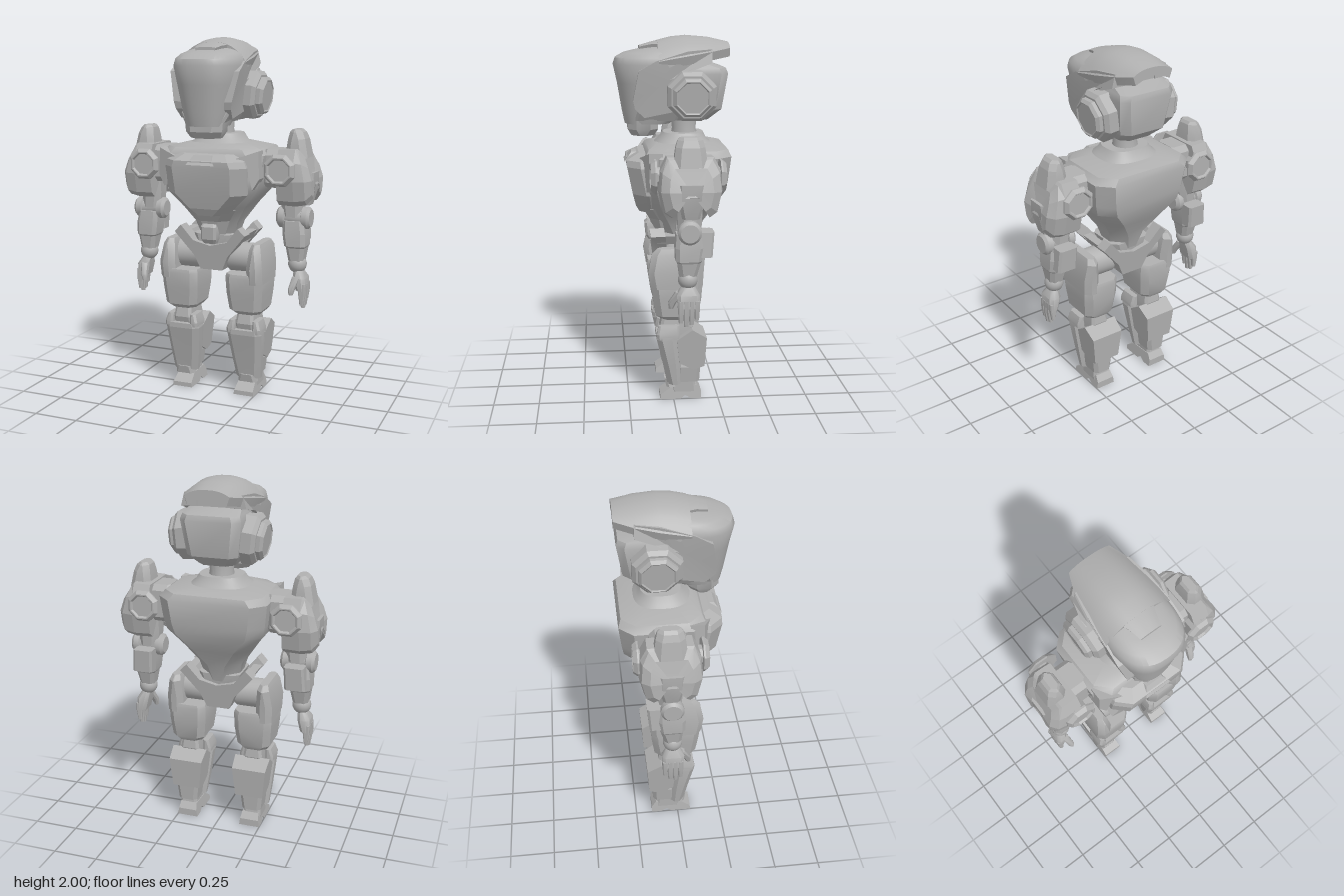
import * as THREE from 'three';
import { toCreasedNormals } from 'three/addons/utils/BufferGeometryUtils.js';

const shell = new THREE.MeshStandardMaterial({ color: 0xb0b0b0 });
shell.name = 'grey shell';

// Skin closed rings of [x, y, z] points, with fan caps; winding is made outward
function skin(rings, crease = 0.5) {
  const tris = [], n = rings[0].length;
  const tri = (a, b, c) => tris.push(a, b, c);
  for (let i = 0; i < rings.length - 1; i++)
    for (let j = 0; j < n; j++) {
      const k = (j + 1) % n, [p, q] = [rings[i], rings[i + 1]];
      tri(p[j], p[k], q[k]);
      tri(p[j], q[k], q[j]);
    }
  const mid = r => [0, 1, 2].map(a => r.reduce((s, p) => s + p[a], 0) / n);
  const first = rings[0], last = rings[rings.length - 1], m0 = mid(first), m1 = mid(last);
  for (let j = 0; j < n; j++) {
    const k = (j + 1) % n;
    tri(m0, first[k], first[j]);
    tri(m1, last[j], last[k]);
  }
  let volume = 0;
  for (let i = 0; i < tris.length; i += 3) {
    const [a, b, c] = [0, 1, 2].map(k => new THREE.Vector3(...tris[i + k]));
    volume += a.dot(b.cross(c));
  }
  if (volume < 0) tris.reverse();
  const g = new THREE.BufferGeometry();
  g.setAttribute('position', new THREE.Float32BufferAttribute(tris.flat(), 3));
  return toCreasedNormals(g, crease);
}

// Chamfered blocks stacked upward; rows are [y, x0, x1, zFront, zBack], c is the chamfer
const block = (rows, c = 0.02, crease = 0.45) => skin(rows.map(([y, a, b, f, k]) => {
  const d = Math.min(c, (b - a) * 0.45, (f - k) * 0.45);
  return [[a + d, y, f], [b - d, y, f], [b, y, f - d], [b, y, k + d],
    [b - d, y, k], [a + d, y, k], [a, y, k + d], [a, y, f - d]];
}), crease);

// Rounded stack, symmetric in x; rows are [y, halfWidth, zFront, zBack]
const rounded = (rows, power = 3, crease = 0.7) => skin(rows.map(([y, w, f, k]) =>
  Array.from({ length: 40 }, (_, i) => {
    const t = i / 40 * Math.PI * 2, c = Math.cos(t), s = Math.sin(t);
    const e = v => Math.sign(v) * Math.abs(v) ** (2 / power);
    return [w * e(c), y, (f + k) / 2 + (f - k) / 2 * e(s)];
  })), crease);

// Outline swept between two planes: at(point, side) gives the 3D place
const slab = (pts, at) => skin([0, 1].map(s => pts.map(p => at(p, s))), 0.3);

// Turned part on the x or z axis; profile is [radius, offset]
function turned(profile, sides, axis, x, y, z) {
  const rings = profile.map(([r, o]) => Array.from({ length: sides }, (_, i) => {
    const t = (i + 0.5) / sides * Math.PI * 2, u = r * Math.cos(t), v = r * Math.sin(t);
    return axis === 'x' ? [x + o, y + u, z + v] : [x + u, y + v, z + o];
  }));
  return skin(rings, sides > 12 ? 0.6 : 0.2);
}

function mirrored(g) {
  const m = g.clone();
  for (const key of ['position', 'normal']) {
    const a = m.attributes[key];
    for (let i = 0; i < a.count; i += 3) {
      const v = [0, 1, 2].map(k => [-a.getX(i + k), a.getY(i + k), a.getZ(i + k)]);
      [v[0], v[2], v[1]].forEach((p, k) => a.setXYZ(i + k, ...p));
    }
  }
  return m;
}

export function createModel() {
  const model = new THREE.Group();
  model.name = 'robot';
  const add = (name, g) => {
    const m = new THREE.Mesh(g, shell);
    m.name = name;
    model.add(m);
  };
  const pair = (name, g) => {
    add(name + 'Left', g);
    add(name + 'Right', mirrored(g));
  };

  // Head: smooth visor, arched top shell, rear casing, chin
  add('visor', rounded([[1.53, 0.11, 0.25, 0], [1.6, 0.135, 0.265, -0.08], [1.75, 0.17, 0.29, -0.15],
    [1.85, 0.188, 0.312, -0.17], [1.885, 0.18, 0.3, -0.17], [1.91, 0.165, 0.255, -0.17],
    [1.93, 0.14, 0.17, -0.17], [1.95, 0.1, 0.05, -0.17], [1.96, 0.05, -0.03, -0.14]], 2.5));
  const arch = rows => skin(rows.map(([z, top, w, drop]) => {
    const line = Array.from({ length: 15 }, (_, i) => i / 7 - 1);
    const p = (u, d) => [u * (w - d / 3), top - d - drop * Math.abs(u) ** 2.6, z];
    return [...line.map(u => p(u, 0)), ...line.reverse().map(u => p(u, 0.045))];
  }), 0.6);
  add('topShell', arch([[-0.31, 1.965, 0.12, 0.03], [-0.2, 1.99, 0.165, 0.075], [-0.08, 2, 0.188, 0.105],
    [0, 1.992, 0.194, 0.11], [0.075, 1.973, 0.196, 0.105]]));
  add('topShellTongue', arch([[0.05, 1.978, 0.1, 0.02], [0.11, 1.964, 0.075, 0.01], [0.17, 1.946, 0.06, 0.005]]));
  pair('sideBand', slab([[0.2, 1.62], [0.21, 1.66], [0.18, 1.82], [0.09, 1.87], [-0.08, 1.92], [-0.21, 1.93],
    [-0.21, 1.86], [-0.12, 1.84], [-0.05, 1.8], [0.0, 1.6], [0.15, 1.57]],
  ([z, y], s) => [s ? (y > 1.84 ? 0.203 - (y - 1.84) * 0.25 : 0.203 - (1.84 - y) * 0.2) - Math.max(0, -z - 0.1) * 0.2 : 0.09, y, z]));
  add('rearCasing', block([[1.55, -0.1, 0.1, 0.1, -0.2], [1.61, -0.14, 0.14, 0.12, -0.27],
    [1.8, -0.165, 0.165, 0.1, -0.3], [1.83, -0.155, 0.155, 0.1, -0.29], [1.86, -0.14, 0.14, 0.05, -0.2],
    [1.94, -0.13, 0.13, 0.05, -0.2]], 0.04, 0.7));
  add('chin', block([[1.465, -0.085, 0.085, 0.215, 0.09], [1.5, -0.105, 0.105, 0.235, 0.07],
    [1.6, -0.115, 0.115, 0.235, 0.07]], 0.045));
  pair('jaw', block([[1.55, 0.08, 0.115, 0.2, -0.03], [1.62, 0.1, 0.155, 0.18, -0.05]], 0.015));
  pair('earPod', turned([[0.14, -0.03], [0.14, 0.03], [0.12, 0.05], [0.108, 0.05], [0.108, 0.07],
    [0.092, 0.085], [0.085, 0.08]], 8, 'x', 0, 0, 0).rotateZ(-0.1).translate(0.175, 1.69, -0.1));

  // Neck and collar
  add('neck', rounded([[1.4, 0.08, 0.01, -0.17], [1.5, 0.065, -0.01, -0.14], [1.58, 0.07, 0, -0.15]], 2));
  add('collar', rounded([[1.36, 0.24, 0.15, -0.28], [1.41, 0.2, 0.11, -0.25], [1.44, 0.145, 0.07, -0.2],
    [1.48, 0.12, 0.04, -0.18], [1.48, 0.1, 0.02, -0.16]], 2.6));

  // Torso
  add('torso', block([[0.88, -0.1, 0.1, 0.05, -0.15], [0.98, -0.125, 0.125, 0.09, -0.18],
    [1.08, -0.19, 0.19, 0.14, -0.235], [1.18, -0.27, 0.27, 0.165, -0.285], [1.24, -0.285, 0.285, 0.17, -0.295],
    [1.37, -0.3, 0.3, 0.15, -0.31], [1.405, -0.27, 0.27, 0.13, -0.295], [1.43, -0.17, 0.17, 0.08, -0.23]], 0.075, 0.6));
  add('chestPlate', block([[1.04, -0.1, 0.1, 0.175, 0.05], [1.08, -0.15, 0.15, 0.195, 0.05],
    [1.16, -0.23, 0.23, 0.215, 0.06], [1.31, -0.238, 0.238, 0.245, 0.06], [1.345, -0.225, 0.225, 0.245, 0.06],
    [1.38, -0.17, 0.17, 0.18, 0.06]], 0.07, 0.2));
  add('sternumPanel', slab([[-0.08, 1.325], [-0.05, 1.375], [0.05, 1.375], [0.08, 1.325]],
    ([x, y], s) => [x, y, s ? 0.256 - Math.max(0, y - 1.34) * 1.1 : 0.16]));
  pair('chestWing', slab([[0.12, 1.34], [0.29, 1.4], [0.295, 1.25], [0.26, 1.19], [0.235, 1.31]],
    ([x, y], s) => [x, y, s ? 0.25 - x * 0.4 : 0.06]));
  add('abdomen', block([[0.92, -0.07, 0.07, 0.095, 0], [1, -0.1, 0.1, 0.12, 0], [1.07, -0.15, 0.15, 0.16, 0]], 0.05, 0.2));

  // Pelvis: V shaped belts front and rear around a tapered core
  add('pelvisCore', block([[0.72, -0.065, 0.065, 0.05, -0.1], [0.8, -0.085, 0.085, 0.08, -0.14],
    [0.92, -0.12, 0.12, 0.08, -0.15]], 0.03));
  const belt = [[0, 0.72], [0.065, 0.72], [0.1, 0.8], [0.21, 0.93], [0.17, 0.97], [0.1, 0.885], [0, 0.86]];
  pair('frontBelt', slab(belt, ([x, y], s) => [x, y, (s ? 0.09 : 0.01) + (y - 0.72) * 0.15]));
  pair('rearBelt', slab(belt, ([x, y], s) => [x, y, (s ? -0.15 : -0.08) - (y - 0.72) * 0.15]));
  pair('sideBelt', block([[0.88, 0.13, 0.17, 0.1, -0.17], [0.93, 0.15, 0.2, 0.11, -0.18]], 0.015));
  add('buckle', block([[0.875, -0.035, 0.035, 0.125, 0.05], [0.9, -0.045, 0.045, 0.14, 0.05],
    [0.97, -0.045, 0.045, 0.145, 0.05], [0.985, -0.04, 0.04, 0.13, 0.05]], 0.012));

  // Legs
  pair('hipJoint', turned([[0.07, 0], [0.083, 0.015], [0.083, 0.16]], 28, 'x', 0.07, 0.785, -0.02));
  pair('thigh', block([[0.475, 0.12, 0.27, 0.07, -0.12], [0.5, 0.1, 0.29, 0.1, -0.135], [0.6, 0.088, 0.3, 0.115, -0.15],
    [0.69, 0.085, 0.305, 0.125, -0.155], [0.71, 0.09, 0.3, 0.12, -0.15]], 0.035));
  pair('outerThigh', block([[0.66, 0.215, 0.306, 0.125, -0.155], [0.75, 0.215, 0.308, 0.14, -0.16],
    [0.85, 0.225, 0.292, 0.12, -0.17], [0.88, 0.235, 0.28, 0.09, -0.14]], 0.03));
  pair('kneeJoint', block([[0.37, 0.135, 0.245, 0.06, -0.09], [0.42, 0.135, 0.245, 0.075, -0.11],
    [0.49, 0.145, 0.235, 0.06, -0.1]], 0.015));
  pair('shin', block([[0.09, 0.122, 0.267, 0.035, -0.05], [0.21, 0.104, 0.28, 0.06, -0.04], [0.36, 0.088, 0.292, 0.095, -0.02],
    [0.388, 0.092, 0.289, 0.095, -0.02]], 0.03, 0.2));
  for (const [side, x0, x1, top] of [['inner', 0.09, 0.138, 0.015], ['outer', 0.242, 0.29, -0.015]])
    pair(side + 'KneeCheek', block([[0.37, x0, x1, 0.092, -0.03], [0.395, x0, x1, 0.095, -0.03],
      [0.44, x0 + Math.max(0, top), x1 + Math.min(0, top), 0.085, -0.03]], 0.012));
  pair('calf', slab([[-0.015, 0.36], [-0.1, 0.42], [-0.18, 0.37], [-0.17, 0.2], [-0.11, 0.18], [-0.03, 0.22]],
    ([z, y], s) => [s ? 0.25 + y * 0.1 : 0.13 - y * 0.1, y, z]));
  pair('lowerCalf', block([[0.1, 0.14, 0.25, -0.01, -0.145], [0.19, 0.13, 0.26, -0.02, -0.15]], 0.02));
  pair('ankle', block([[0.04, 0.145, 0.245, 0.01, -0.13], [0.11, 0.145, 0.245, 0.02, -0.12]], 0.015));
  pair('ankleGuard', block([[0.07, 0.14, 0.25, 0.04, -0.02], [0.115, 0.15, 0.24, 0.05, -0.02]], 0.015));
  pair('foot', slab([[0.075, 0], [0.075, 0.025], [0.01, 0.07], [-0.13, 0.075], [-0.155, 0.04], [-0.155, 0],
    [-0.1, 0], [-0.07, 0.025], [-0.04, 0]], ([z, y], s) => [s ? 0.25 - y * 0.15 : 0.13 + y * 0.15, y, z]));

  // Shoulders
  const az = -0.065;
  pair('shoulderJoint', block([[1.19, 0.28, 0.4, 0, -0.13], [1.22, 0.28, 0.41, 0.03, -0.16], [1.37, 0.28, 0.41, 0.03, -0.16],
    [1.4, 0.28, 0.4, 0, -0.13]], 0.015));
  const arm = [[0.12, 1.41], [0.155, 1.34], [0.165, 1.24], [0.14, 1.13], [0.1, 1.1], [0.05, 1.2]];
  const archOutline = [...arm, ...arm.map(([z, y]) => [-z, y]).reverse()];
  pair('shoulderPad', skin([[0.375, 0.98], [0.47, 1], [0.53, 0.93], [0.56, 0.68]].map(([x, k], i) =>
    archOutline.map(([z, y]) => [x - (i > 1 ? Math.max(0, y - 1.28) * 0.35 : 0), 1.25 + (y - 1.25) * k, az + z * k])), 0.2));
  pair('shoulderRidge', block([[1.36, 0.395, 0.52, 0.02, -0.15], [1.42, 0.4, 0.508, 0.015, -0.145],
    [1.46, 0.405, 0.5, 0.01, -0.14], [1.495, 0.412, 0.485, 0, -0.13], [1.51, 0.425, 0.468, -0.012, -0.118]], 0.03, 0.2));
  pair('outerShoulderTab', block([[1.1, 0.48, 0.53, -0.02, -0.11], [1.2, 0.48, 0.555, 0, -0.13],
    [1.28, 0.48, 0.555, 0, -0.13]], 0.015));
  const disc = [[0.05, 0.1], [0.05, 0.168], [0.092, 0.168], [0.092, 0.178], [0.075, 0.2], [0.068, 0.2], [0.06, 0.188]];
  pair('frontShoulderDisc', turned(disc, 8, 'z', 0.4, 1.3, az));
  pair('rearShoulderDisc', turned(disc.map(([r, o]) => [r, -o * 0.94]), 8, 'z', 0.4, 1.3, az));

  // Arms
  pair('upperArm', block([[1.03, 0.375, 0.485, -0.005, -0.125], [1.12, 0.365, 0.485, 0, -0.13],
    [1.3, 0.37, 0.49, 0.01, -0.14]], 0.03));
  pair('elbow', turned([[0.045, 0], [0.062, 0.015], [0.062, 0.045], [0.05, 0.05], [0.05, 0.14], [0.062, 0.145],
    [0.062, 0.175], [0.048, 0.19]], 20, 'x', 0.342, 1.025, -0.06));
  pair('forearm', block([[0.785, 0.412, 0.497, -0.01, -0.1], [0.86, 0.4, 0.507, 0, -0.12], [0.87, 0.393, 0.512, 0.01, -0.125],
    [0.94, 0.383, 0.512, 0.012, -0.135], [1.01, 0.383, 0.5, 0.005, -0.13]], 0.02, 0.2));
  pair('elbowGuard', block([[0.89, 0.385, 0.5, -0.1, -0.18], [1.02, 0.38, 0.49, -0.1, -0.19]], 0.012));
  pair('wrist', new THREE.SphereGeometry(0.052, 20, 14).translate(0.458, 0.765, -0.055).toNonIndexed());

  // Hands: palm, four fingers held together, thumb
  pair('palm', block([[0.62, 0.462, 0.517, 0, -0.115], [0.69, 0.445, 0.514, 0.005, -0.115],
    [0.74, 0.44, 0.487, -0.025, -0.085]], 0.018, 0.7));
  for (let i = 0; i < 4; i++) {
    const z = -0.002 - i * 0.028, tip = 0.52 + [0.02, 0, 0.01, 0.04][i];
    pair('finger' + (i + 1), block([[tip, 0.487, 0.508, z - 0.003, z - 0.025], [tip + 0.06, 0.48, 0.517, z, z - 0.028],
      [0.66, 0.472, 0.517, z, z - 0.028]], 0.005, 0.7));
  }
  pair('thumb', block([[0.605, 0.437, 0.46, 0.045, 0.02], [0.64, 0.435, 0.47, 0.048, 0.005],
    [0.7, 0.445, 0.485, 0.01, -0.04]], 0.009, 0.7));
  return model;
}
